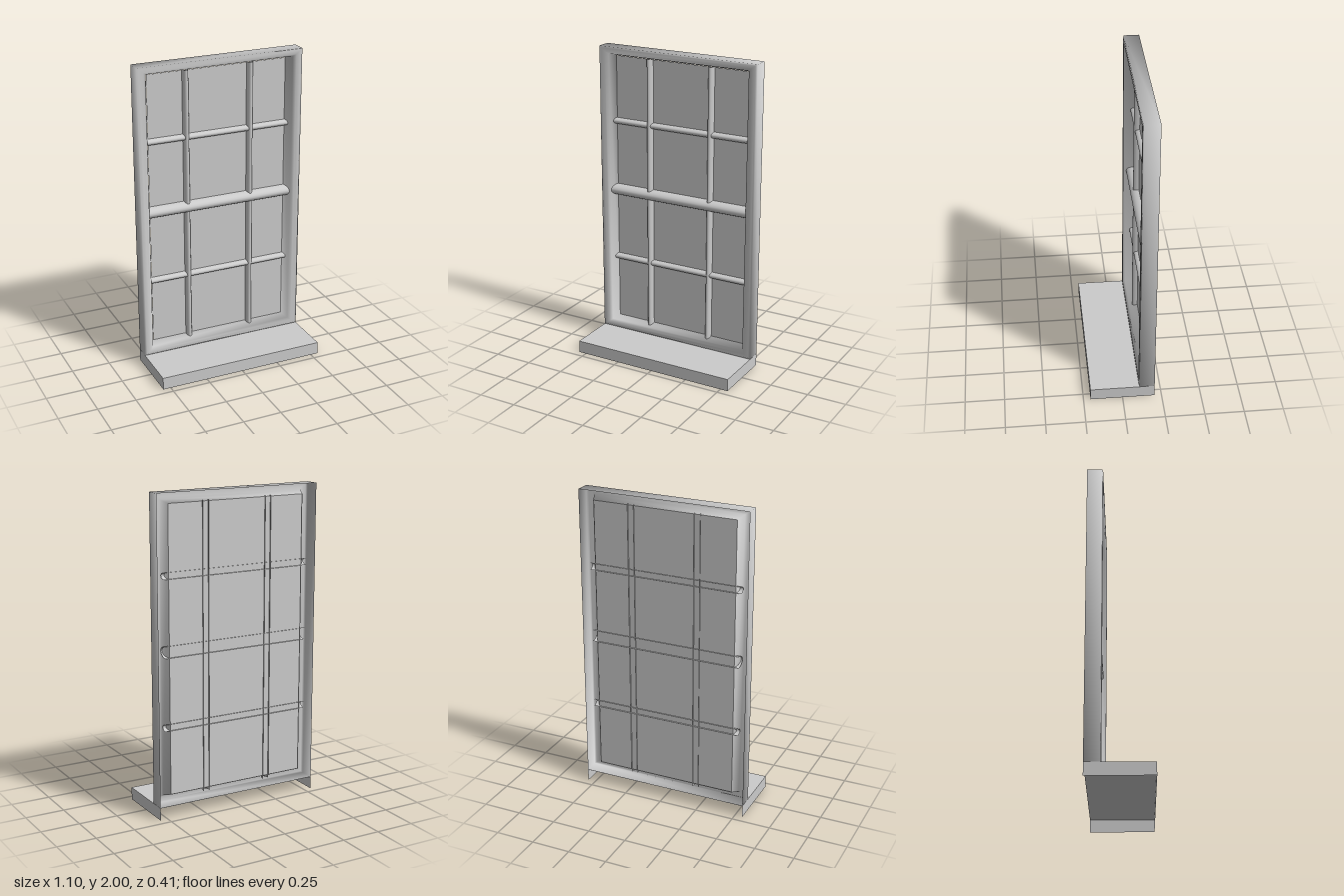
import * as THREE from 'three';

const material = new THREE.MeshStandardMaterial({ color: 0xcccccc, side: THREE.DoubleSide });

function addMesh(parent, name, geometry, x = 0, y = 0, z = 0) {
  const mesh = new THREE.Mesh(geometry, material);
  mesh.name = name;
  mesh.position.set(x, y, z);
  parent.add(mesh);
  return mesh;
}

// Hollow moulded frame: rectangular rings stepping from the outer back edge to the glass.
function frameGeometry() {
  // [inset from outer edge (0) to opening (1), z]
  const profile = [[0, -0.205], [0, -0.11], [0.15, -0.105], [0.5, -0.105], [0.72, -0.12], [1, -0.18]];
  const positions = [], index = [];
  for (const [t, z] of profile) {
    const x = 0.55 - 0.085 * t, bottom = 0.081 + 0.064 * t, top = 2 - 0.065 * t;
    positions.push(-x, bottom, z, x, bottom, z, x, top, z, -x, top, z);
  }
  for (let ring = 0; ring < profile.length - 1; ring++) {
    for (let i = 0; i < 4; i++) {
      const a = ring * 4 + i, b = ring * 4 + (i + 1) % 4;
      index.push(a, b, b + 4, a, b + 4, a + 4);
    }
  }
  const geometry = new THREE.BufferGeometry();
  geometry.setAttribute('position', new THREE.Float32BufferAttribute(positions, 3));
  geometry.setIndex(index);
  geometry.computeVertexNormals();
  return geometry;
}

// Half-round bar, open at the back, running along y.
function barGeometry(width, depth, length) {
  return new THREE.CylinderGeometry(1, 1, length, 10, 1, true, -Math.PI / 2, Math.PI)
    .scale(width / 2, 1, depth);
}

// Sill shell: a box without its underside and back.
function sillGeometry() {
  const box = new THREE.BoxGeometry(1.1, 0.08, 0.41);
  const faces = Array.from(box.index.array);
  box.setIndex([...faces.slice(0, 18), ...faces.slice(24, 30)]);
  box.clearGroups();
  return box;
}

export function createModel() {
  const model = new THREE.Group();
  model.name = 'window';

  addMesh(model, 'sill', sillGeometry(), 0, 0.04, 0);
  addMesh(model, 'frame', frameGeometry());
  addMesh(model, 'glass', new THREE.PlaneGeometry(0.93, 1.79), 0, 1.04, -0.175);

  // Glazing bars reach slightly behind the glass and into the frame
  const barZ = -0.183;
  for (const side of [-1, 1]) {
    addMesh(model, 'verticalBar', barGeometry(0.04, 0.043, 1.815), side * 0.216, 1.0325, barZ);
  }
  for (const y of [0.577, 1.51]) {
    addMesh(model, 'horizontalBar', barGeometry(0.042, 0.036, 1), 0, y, barZ).rotation.z = Math.PI / 2;
  }
  addMesh(model, 'meetingRail', barGeometry(0.074, 0.06, 0.99), 0, 1.048, barZ).rotation.z = Math.PI / 2;

  return model;
}
